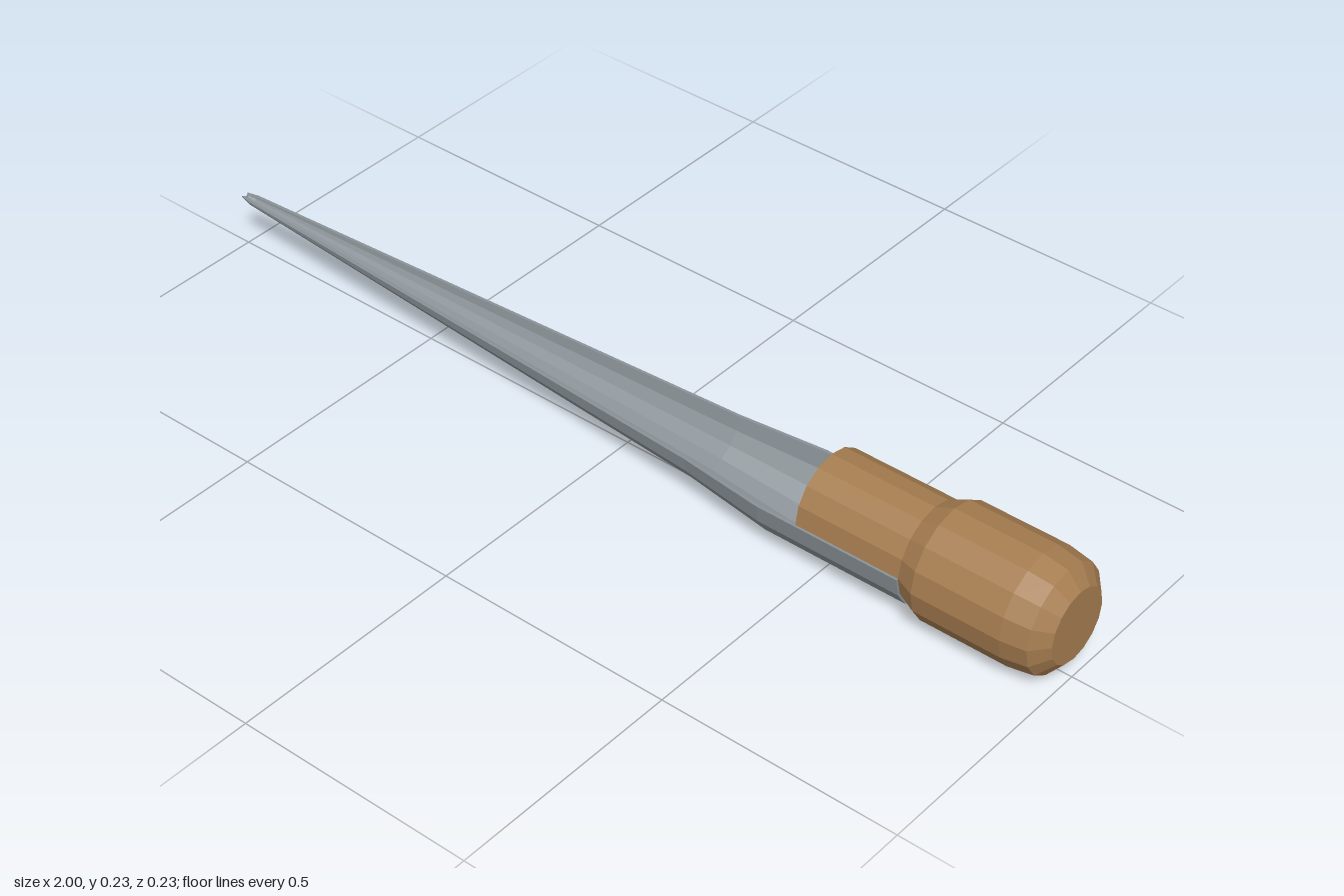
import * as THREE from 'three';

const AXIS_Y = 0.117; // height of the tool's long axis

const wood = new THREE.MeshStandardMaterial({ color: 0xa67d50 });
wood.name = 'wood';
const steel = new THREE.MeshStandardMaterial({ color: 0x8b9398 });
steel.name = 'steel';

// Turns a profile of [x, radius] pairs around the x axis, with flat facets.
// A phi of 0 to PI sweeps the lower half.
function turned(profile, segments, phiLength) {
  const points = profile.map(([x, r]) => new THREE.Vector2(r, x));
  const lathe = new THREE.LatheGeometry(points, segments, 0, phiLength);
  lathe.rotateZ(-Math.PI / 2);
  const flat = lathe.toNonIndexed();
  flat.computeVertexNormals();
  return flat;
}

function addPart(group, name, geometry, material) {
  const mesh = new THREE.Mesh(geometry, material);
  mesh.name = name;
  group.add(mesh);
}

export function createModel() {
  const group = new THREE.Group();
  group.name = 'scoopTool';
  const body = new THREE.Group();
  body.name = 'tool';
  body.position.y = AXIS_Y;
  group.add(body);

  // Handle: slim neck, flared grip and a chamfered butt
  const handle = [
    [0.47, 0], [0.47, 0.099], [0.695, 0.099], [0.735, 0.117],
    [0.92, 0.117], [0.972, 0.109], [1, 0.075], [1, 0],
  ];
  addPart(body, 'handle', turned(handle, 16, Math.PI * 2), wood);

  // Blade: half-round tapering trough, outer skin out and inner skin back
  const outer = [[-1, 0.008], [-0.975, 0.014], [0.2, 0.083], [0.385, 0.104], [0.695, 0.104]];
  const inner = outer.map(([x, r], i) => [i === 0 ? -0.993 : x, Math.max(r - 0.006, 0.003)]).reverse();
  const section = [...outer, ...inner];
  addPart(body, 'blade', turned([...section, section[0]], 8, Math.PI), steel);

  // Flat upper rims closing the trough's two long edges
  for (const side of [1, -1]) {
    const shape = new THREE.Shape(section.map(([x, r]) => new THREE.Vector2(x, -side * r)));
    const rim = new THREE.ShapeGeometry(shape).rotateX(-Math.PI / 2);
    addPart(body, side > 0 ? 'frontRim' : 'backRim', rim, steel);
  }

  return group;
}
